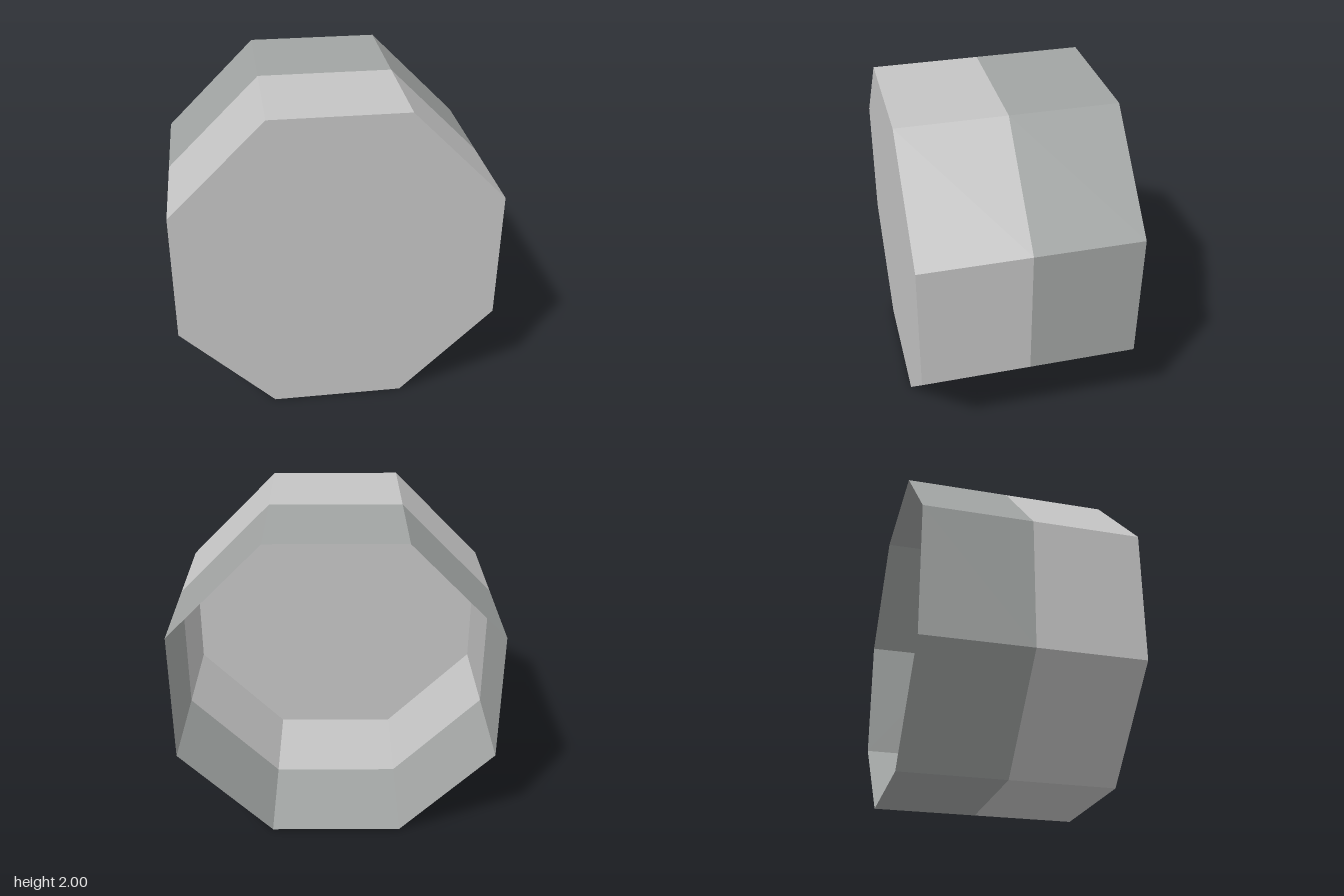
import * as THREE from 'three';

const SIDES = 8;
const RADIUS = 1 / Math.cos(Math.PI / SIDES); // flats lie 1 unit from the axis
const HALF_DEPTH = 0.667;

function flat(name, color) {
  const m = new THREE.MeshStandardMaterial({ color, flatShading: true, side: THREE.DoubleSide });
  m.name = name;
  return m;
}

export function createModel() {
  const group = new THREE.Group();
  group.name = 'octagonalCan';
  const lightGrey = flat('light grey', 0xc4c4c4);
  const midGrey = flat('mid grey', 0xa1a4a3);

  const add = (name, geometry, material, z) => {
    const mesh = new THREE.Mesh(geometry, material);
    mesh.name = name;
    mesh.position.set(0, 1, z);
    group.add(mesh);
  };

  // Open wall band: one half of the depth, axis along z, a flat side down
  const band = () =>
    new THREE.CylinderGeometry(RADIUS, RADIUS, HALF_DEPTH, SIDES, 1, true)
      .rotateY(Math.PI / SIDES)
      .rotateX(Math.PI / 2);

  add('frontWall', band(), lightGrey, HALF_DEPTH / 2);
  add('backWall', band(), midGrey, -HALF_DEPTH / 2);

  // Closed front face; the back stays open
  const cap = new THREE.CircleGeometry(RADIUS, SIDES).rotateZ(Math.PI / SIDES);
  add('frontCap', cap, lightGrey, HALF_DEPTH);

  return group;
}
